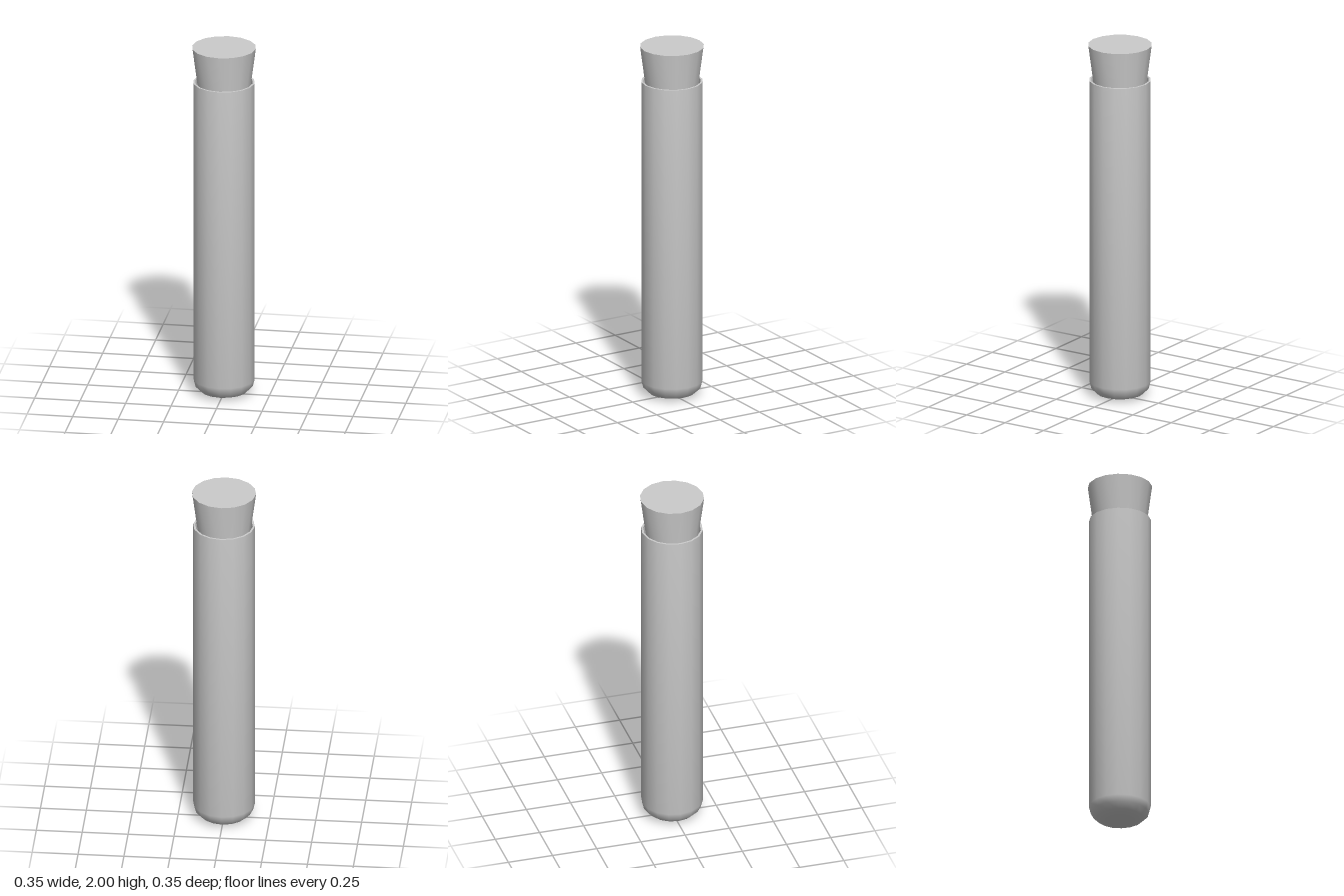
import * as THREE from 'three';
import { toCreasedNormals } from 'three/addons/utils/BufferGeometryUtils.js';

const SIDES = 16;
const material = new THREE.MeshStandardMaterial({ color: 0xcccccc, side: THREE.DoubleSide });

// Turned part: profile of [radius, height], smooth around, sharp at hard corners
function turned(name, profile) {
  const points = profile.map(([r, y]) => new THREE.Vector2(r, y));
  const geometry = toCreasedNormals(new THREE.LatheGeometry(points, SIDES), 0.7);
  const mesh = new THREE.Mesh(geometry, material);
  mesh.name = name;
  return mesh;
}

export function createModel() {
  const model = new THREE.Group();
  model.name = 'stopperedTube';

  // Hollow tube: rounded base, outer wall, rim, then back down the inside
  model.add(turned('tube', [
    [0, 0], [0.07, 0], [0.128, 0.018], [0.158, 0.048], [0.168, 0.085],
    [0.168, 1.8], [0.157, 1.8],
    [0.157, 0.09], [0.148, 0.056], [0.12, 0.028], [0.065, 0.012], [0, 0.012],
  ]));

  // Tapered stopper, its lower end seated inside the tube
  model.add(turned('stopper', [
    [0, 1.66], [0.13, 1.66], [0.175, 2], [0, 2],
  ]));

  return model;
}
